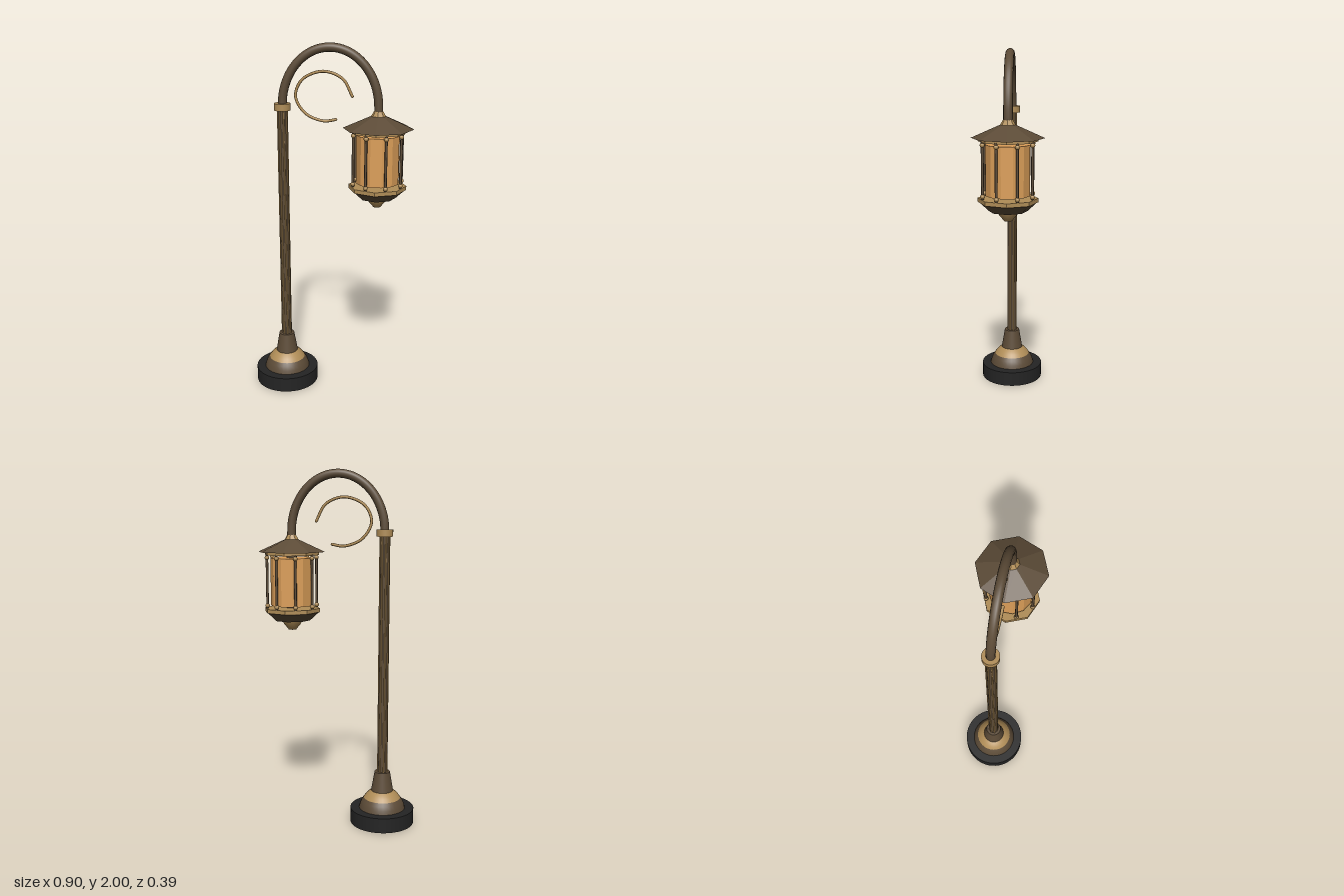
import * as THREE from 'three';

const mat = (name, color) => {
  const m = new THREE.MeshStandardMaterial({ color });
  m.name = name;
  return m;
};

export function createModel() {
  const bronze = mat('dark bronze', 0x5c4b37);
  const brass = mat('aged brass', 0xb08d57);
  const iron = mat('black iron', 0x242424);
  const glass = mat('amber glass', 0xdc9f59);

  const model = new THREE.Group();
  model.name = 'streetLamp';
  const post = new THREE.Group();
  post.name = 'post';
  post.position.x = -0.27;
  const lantern = new THREE.Group();
  lantern.name = 'lantern';
  lantern.position.x = 0.255;
  model.add(post, lantern);

  const add = (parent, name, geometry, material) => {
    const mesh = new THREE.Mesh(geometry, material);
    mesh.name = name;
    parent.add(mesh);
    return mesh;
  };
  // Upright round part between two heights
  const round = (rBottom, rTop, y0, y1, sides = 32) =>
    new THREE.CylinderGeometry(rTop, rBottom, y1 - y0, sides).translate(0, (y0 + y1) / 2, 0);
  // The same with hard facets
  const faceted = (rBottom, rTop, y0, y1, sides = 8, turn = 0) => {
    const g = round(rBottom, rTop, y0, y1, sides).rotateY(turn).toNonIndexed();
    g.computeVertexNormals();
    return g;
  };
  const lathe = (points, sides = 32) =>
    new THREE.LatheGeometry(points.map(([r, y]) => new THREE.Vector2(r, y)), sides);

  // Stepped foot
  add(post, 'footPlinth', round(0.182, 0.182, 0, 0.085, 48), iron);
  add(post, 'lowerFoot', lathe([[0.132, 0.085], [0.127, 0.105], [0.118, 0.127], [0.105, 0.145]]), bronze);
  add(post, 'upperFoot', lathe([[0.105, 0.145], [0.092, 0.163], [0.076, 0.178], [0.058, 0.19]]), brass);
  add(post, 'footSocket', round(0.063, 0.044, 0.188, 0.3), bronze);

  // Fluted pole with raised brass strips
  add(post, 'pole', round(0.028, 0.026, 0.3, 1.645, 16), bronze);
  for (let i = 0; i < 8; i++) {
    const a = (i + 0.5) * Math.PI / 4;
    const strip = add(post, 'poleStrip', round(0.0045, 0.0045, 0.3, 1.64, 8), brass);
    strip.position.set(Math.sin(a) * 0.026, 0, Math.cos(a) * 0.026);
  }
  add(post, 'collar', round(0.045, 0.045, 1.637, 1.675), brass);

  // Arched arm: half an ellipse with a short drop into the lantern
  const path = [];
  for (let i = 0; i <= 16; i++) {
    const a = Math.PI * (1 - i / 16);
    path.push(new THREE.Vector3(-0.0075 + 0.2625 * Math.cos(a), 1.66 + 0.316 * Math.sin(a), 0));
  }
  path.push(new THREE.Vector3(0.255, 1.62, 0));
  add(model, 'arm', new THREE.TubeGeometry(new THREE.CatmullRomCurve3(path), 64, 0.024, 14), bronze);

  // Open scroll under the arm
  const scroll = [
    [0.024, 1.593], [-0.045, 1.584], [-0.145, 1.625], [-0.196, 1.715],
    [-0.158, 1.805], [-0.045, 1.85], [0.06, 1.812], [0.113, 1.72],
  ].map(([x, y]) => new THREE.Vector3(x, y, 0));
  add(model, 'scroll', new THREE.TubeGeometry(new THREE.CatmullRomCurve3(scroll), 56, 0.008, 8), brass);
  for (const end of [scroll[0], scroll[scroll.length - 1]]) {
    add(model, 'scrollEnd', new THREE.SphereGeometry(0.008, 8, 6), brass).position.copy(end);
  }

  // Eight-sided roof and rims
  add(lantern, 'roofCap', faceted(0.045, 0.024, 1.61, 1.645), brass);
  add(lantern, 'roof', faceted(0.193, 0.04, 1.55, 1.618), bronze);
  add(lantern, 'upperRim', faceted(0.157, 0.157, 1.533, 1.551), brass);
  add(lantern, 'lowerRim', faceted(0.16, 0.16, 1.213, 1.235), brass);

  // Glass on a short inner stem
  add(lantern, 'innerStem', round(0.03, 0.03, 1.23, 1.54, 12), bronze);
  add(lantern, 'glass', faceted(0.12, 0.12, 1.25, 1.517, 12, Math.PI / 12), glass);

  // Cage bars with a bead at each end
  for (let i = 0; i < 8; i++) {
    const a = (i + 0.5) * Math.PI / 4;
    const bar = new THREE.Group();
    bar.name = 'cageBar';
    bar.position.set(Math.sin(a) * 0.14, 0, Math.cos(a) * 0.14);
    add(bar, 'bar', round(0.0075, 0.0075, 1.23, 1.54, 8), bronze);
    for (const y of [1.25, 1.518]) {
      add(bar, 'bead', new THREE.SphereGeometry(0.013, 12, 8), brass).position.y = y;
    }
    lantern.add(bar);
  }

  // Tapered bowl and finial
  add(lantern, 'bowl', faceted(0.103, 0.156, 1.165, 1.214), bronze);
  add(lantern, 'finial', lathe([[0, 1.11], [0.022, 1.111], [0.03, 1.122], [0.048, 1.143], [0.058, 1.166]], 16), brass);

  return model;
}
